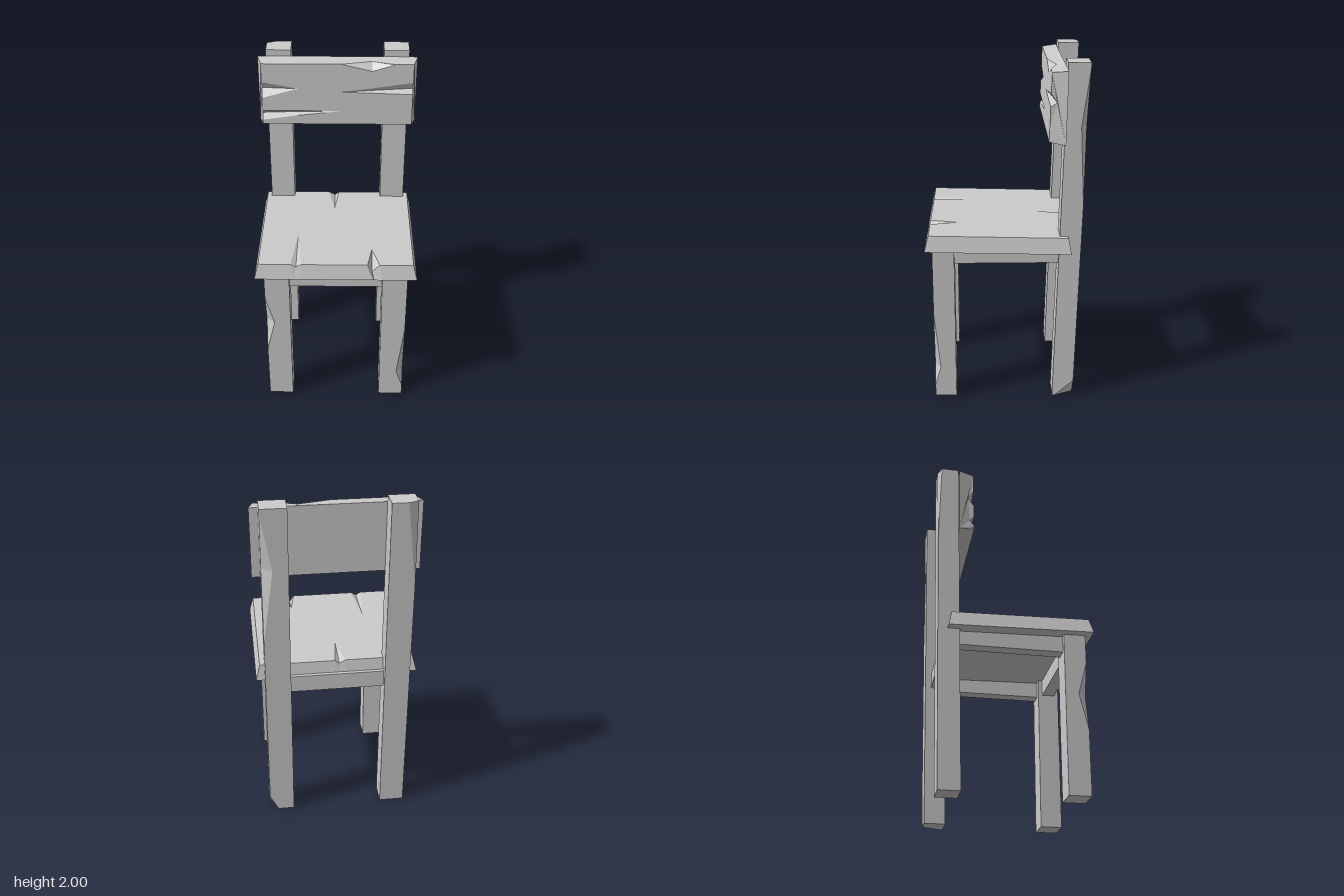
import * as THREE from 'three';

const material = new THREE.MeshStandardMaterial({ color: 0xcccccc, flatShading: true });

// Joins matching cross-sections { t, pts: [[u, v], ...] } into a closed solid.
function loft(sections, place) {
  const contour = s => s.pts.map(p => new THREE.Vector2(p[0], p[1]));
  if (THREE.ShapeUtils.isClockWise(contour(sections[0]))) sections.forEach(s => s.pts.reverse());
  const rings = sections.map(s => s.pts.map(([u, v]) => place(u, v, s.t)));
  const out = [];
  const normal = new THREE.Vector3();
  const tri = (a, b, c) => {
    THREE.Triangle.getNormal(a, b, c, normal);
    if (normal.lengthSq() > 0.5) out.push(a, b, c);
  };
  for (let i = 0; i + 1 < rings.length; i++) {
    const a = rings[i], b = rings[i + 1];
    a.forEach((p, j) => {
      const k = (j + 1) % a.length;
      tri(p, a[k], b[k]);
      tri(p, b[k], b[j]);
    });
  }
  const first = rings[0], last = rings[rings.length - 1];
  const caps = s => THREE.ShapeUtils.triangulateShape(contour(s), []);
  caps(sections[0]).forEach(([a, b, c]) => tri(first[c], first[b], first[a]));
  caps(sections[sections.length - 1]).forEach(([a, b, c]) => tri(last[a], last[b], last[c]));
  const geometry = new THREE.BufferGeometry().setFromPoints(out);
  geometry.computeVertexNormals();
  return geometry;
}

// Square post leaning back; chips [y, dx, dz] cut its outer front or outer back edge.
function legGeometry(side, zFront, zBack, lean, chipFront, chips) {
  const xi = side * 0.268, xo = side * 0.413;
  const sections = chips.map(([y, dx, dz]) => {
    const f = zFront - lean * y, b = zBack - lean * y;
    const zc = chipFront ? f : b, zo = chipFront ? b : f;
    const inward = Math.sign(zo - zc);
    return { t: y, pts: [[zo, xi], [zo, xo], [zc + inward * dz, xo], [zc, xo - side * dx], [zc, xi]] };
  });
  return loft(sections, (z, x, y) => new THREE.Vector3(x, y, z));
}

// Seat board with tapered rim and split cracks in its front and back edges.
function seatGeometry() {
  const top = z => 1.029 + 0.025 * z, bottom = z => 0.939 + 0.025 * z;
  // x, front crack tip z, front depth, back crack tip z, back depth
  const stations = [
    [-0.44], [-0.255], [-0.225, 0.14, 0.018], [-0.195], [-0.05],
    [-0.015, 0.43, 0, -0.165, 0.02], [0.01], [0.18], [0.207, 0.28, 0.042], [0.25], [0.44],
  ];
  const sections = stations.map(([t, tip = 0.432, cut = 0, backTip = -0.355, backCut = 0]) => ({
    t,
    pts: [
      [bottom(-0.372), -0.372], [top(-0.355) - backCut, -0.355], [top(backTip), backTip],
      [top(tip), tip], [top(0.432) - cut, 0.432], [bottom(0.455), 0.455],
    ],
  }));
  return loft(sections, (y, z, x) => new THREE.Vector3(x * (y < 0.97 ? 1.052 : 1), y, z));
}

// Back board with three tapering grooves on its face and a chipped upper edge.
function backrestGeometry() {
  const face = y => -0.235 - (y - 1.575) * 0.027;
  // x, lower groove [low, mid, high, depth], upper groove, top chip size
  const stations = [
    [-0.437, [1.60, 1.635, 1.66, 0.025], [1.74, 1.79, 1.84, 0.035], 0],
    [-0.23, [1.63, 1.648, 1.66, 0.014], [1.80, 1.80, 1.80, 0], 0],
    [-0.05, [1.65, 1.656, 1.66, 0.004], [1.785, 1.785, 1.785, 0], 0],
    [0.02, [1.66, 1.66, 1.66, 0], [1.78, 1.78, 1.78, 0], 0],
    [0.2, [1.66, 1.66, 1.66, 0], [1.775, 1.785, 1.805, 0.015], 0.04],
    [0.33, [1.66, 1.66, 1.66, 0], [1.77, 1.788, 1.825, 0.026], 0],
    [0.437, [1.66, 1.66, 1.66, 0], [1.768, 1.79, 1.84, 0.035], 0],
  ];
  const groove = ([low, mid, high, d]) => [[high, face(high)], [mid, face(mid) - d], [low, face(low)]];
  const sections = stations.map(([t, lower, upper, chip]) => ({
    t,
    pts: [
      [1.56, -0.325], [1.962, -0.332], [1.953, face(1.95) - chip], [1.95 - chip, face(1.95 - chip)],
      ...groove(upper), ...groove(lower), [1.575, face(1.575)],
    ],
  }));
  return loft(sections, (y, z, x) => new THREE.Vector3(x * (z < -0.3 ? 1.055 : 1), y, z));
}

export function createModel() {
  const group = new THREE.Group();
  const add = (name, geometry, x = 0, y = 0, z = 0) => {
    const mesh = new THREE.Mesh(geometry, material);
    mesh.name = name;
    mesh.position.set(x, y, z);
    group.add(mesh);
  };

  add('seat', seatGeometry());
  add('backrest', backrestGeometry());

  // Legs, each with its own worn edge
  add('frontLegRight', legGeometry(-1, 0.415, 0.29, 0, true,
    [[0.01, 0, 0], [0.38, 0, 0], [0.59, 0.05, 0.05], [0.78, 0, 0], [0.95, 0, 0]]));
  add('frontLegLeft', legGeometry(1, 0.415, 0.29, 0, true,
    [[0.01, 0, 0], [0.08, 0, 0], [0.2, 0.04, 0.035], [0.55, 0, 0], [0.95, 0, 0]]));
  add('backLegRight', legGeometry(-1, -0.28, -0.403, 0.026, false,
    [[0.005, 0, 0], [1.5, 0, 0], [1.95, 0.05, 0.02], [2, 0.055, 0.022]]));
  add('backLegLeft', legGeometry(1, -0.28, -0.403, 0.026, false,
    [[0, 0.05, 0.11], [0.1, 0, 0], [1.2, 0, 0], [1.65, 0.06, 0.035], [1.97, 0, 0], [2, 0, 0]]));

  // Aprons under the seat
  for (const [name, z] of [['frontApron', 0.352], ['backApron', -0.352]])
    add(name, new THREE.BoxGeometry(0.54, 0.1, 0.075), 0, 0.9, z);
  for (const [name, s] of [['leftApron', 1], ['rightApron', -1]])
    add(name, new THREE.BoxGeometry(0.075, 0.1, 0.62), s * 0.345, 0.9, -0.005);

  return group;
}
